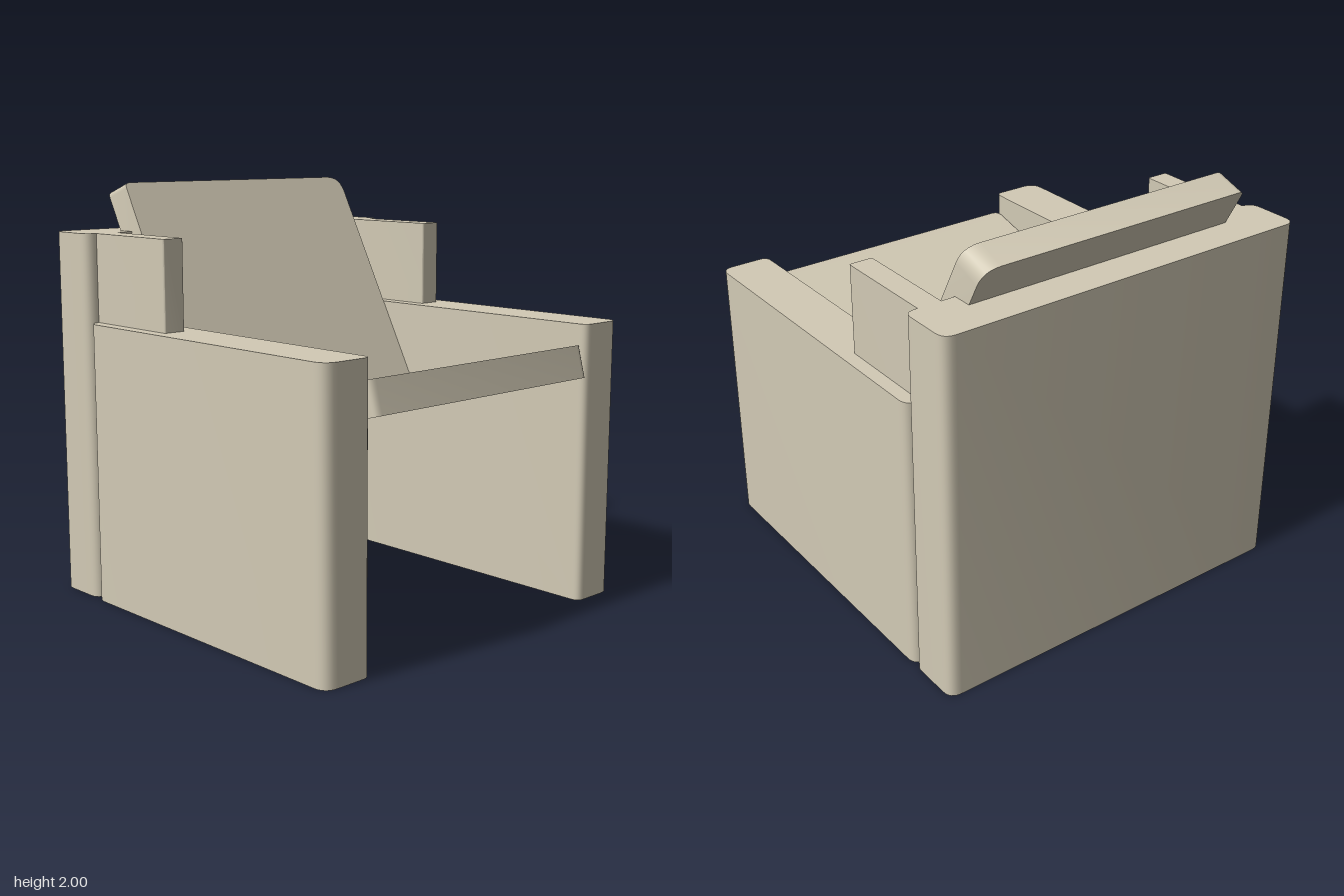
import * as THREE from 'three';
import { toCreasedNormals } from 'three/addons/utils/BufferGeometryUtils.js';

const fabric = new THREE.MeshStandardMaterial({ color: 0xd2cab5 });
fabric.name = 'beige fabric';

// Rectangle with its own radius at each corner: [x0y0, x1y0, x1y1, x0y1]
function roundedRect(x0, y0, x1, y1, [a, b, c, d]) {
  const s = new THREE.Shape();
  s.moveTo(x0 + a, y0);
  s.lineTo(x1 - b, y0);
  s.quadraticCurveTo(x1, y0, x1, y0 + b);
  s.lineTo(x1, y1 - c);
  s.quadraticCurveTo(x1, y1, x1 - c, y1);
  s.lineTo(x0 + d, y1);
  s.quadraticCurveTo(x0, y1, x0, y1 - d);
  s.lineTo(x0, y0 + a);
  s.quadraticCurveTo(x0, y0, x0 + a, y0);
  return s;
}

// Slab drawn in x and along, extruded over the whole thickness vector
function slab(name, shape, origin, along, thickness) {
  const geo = new THREE.ExtrudeGeometry(shape, { depth: 1, bevelEnabled: false, curveSegments: 6 });
  geo.applyMatrix4(new THREE.Matrix4().makeBasis(
    new THREE.Vector3(1, 0, 0), new THREE.Vector3(...along), new THREE.Vector3(...thickness)
  ).setPosition(...origin));
  const mesh = new THREE.Mesh(toCreasedNormals(geo, 0.6), fabric);
  mesh.name = name;
  return mesh;
}

// Upright block with rounded vertical edges; radii go front-left-of-plan, front, back, back
function upright(name, x0, x1, zBack, zFront, y0, y1, radii) {
  return slab(name, roundedRect(x0, -zFront, x1, -zBack, radii), [0, y0, 0], [0, 0, -1], [0, y1 - y0, 0]);
}

export function createModel() {
  const model = new THREE.Group();
  const chair = new THREE.Group();
  chair.name = 'armchair';
  chair.rotation.y = 0.025;
  model.add(chair);

  // Back panel and side arms
  chair.add(
    upright('backPanel', -0.96, 0.95, -0.968, -0.693, 0, 1.77, [0.06, 0.05, 0.06, 0.06]),
    upright('rightArm', -0.967, -0.712, -0.692, 0.946, 0, 1.35, [0.07, 0.04, 0.1, 0.07]),
    upright('leftArm', 0.707, 0.952, -0.692, 0.941, 0, 1.35, [0.04, 0.06, 0.06, 0.1]),
    // Head wings standing on the arms
    upright('rightWing', -0.906, -0.796, -0.71, -0.171, 1.35, 1.77, [0.01, 0.01, 0, 0]),
    upright('leftWing', 0.772, 0.885, -0.71, -0.175, 1.35, 1.77, [0.01, 0.01, 0, 0])
  );

  // Seat cushion sloping down to the back
  chair.add(slab('seatCushion', roundedRect(-0.705, 0, 0.697, 1.72, [0.04, 0.04, 0.07, 0.03]),
    [0, 1.105, 0.963], [0, -0.258, -0.966], [0, 0.15, -0.04]));

  // Leaning back cushion, sunk slightly into the seat
  chair.add(slab('backCushion', roundedRect(-0.703, -1.2, 0.705, 0, [0.03, 0.03, 0.09, 0.03]),
    [0, 1.95, -0.885], [0, 0.882, -0.471], [0, 0.05, 0.142]));

  return model;
}
